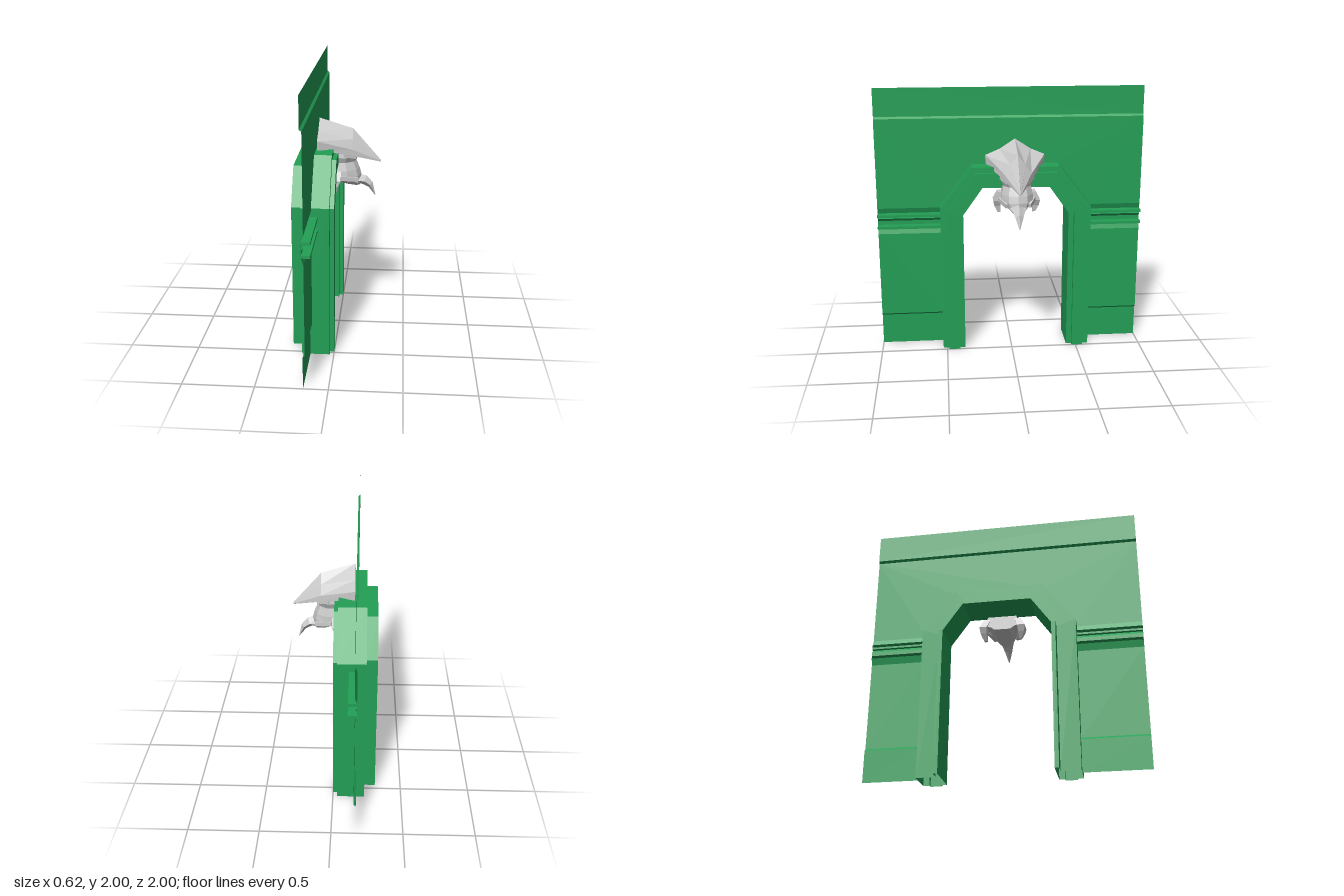
import * as THREE from 'three';

const CZ = -0.035; // centre line of the archway
const green = new THREE.MeshStandardMaterial({ color: 0x239f56, flatShading: true, side: THREE.DoubleSide });
const grey = new THREE.MeshStandardMaterial({ color: 0xcccccc, flatShading: true, side: THREE.DoubleSide });

// Skin a list of rings, each a list of [x, y, z]
function loft(rings, closed = false) {
  const out = [];
  for (let i = 0; i < rings.length - 1; i++) {
    const n = rings[i].length;
    for (let j = 0; j < (closed ? n : n - 1); j++) {
      const k = (j + 1) % n;
      const a = rings[i][j], b = rings[i + 1][j], c = rings[i + 1][k], d = rings[i][k];
      out.push(...a, ...b, ...c, ...a, ...c, ...d);
    }
  }
  const g = new THREE.BufferGeometry();
  g.setAttribute('position', new THREE.Float32BufferAttribute(out, 3));
  g.computeVertexNormals();
  return g;
}

// Add collapsed rings so that a closed loft gets end caps
function capped(rings) {
  const mid = (r) => {
    const c = [0, 1, 2].map((k) => r.reduce((s, p) => s + p[k], 0) / r.length);
    return r.map(() => c);
  };
  return [mid(rings[0]), ...rings, mid(rings[rings.length - 1])];
}

function add(group, name, geometry, material) {
  const m = new THREE.Mesh(geometry, material);
  m.name = name;
  group.add(m);
  return m;
}

// Arch outlines: half width, shoulder height, half width of the flat top, top height
const OUTER = [0.565, 1.12, 0.325, 1.43];
const STEP = [0.52, 1.105, 0.305, 1.39];
const LIP = [0.435, 1.08, 0.26, 1.30];
const INNER = [0.395, 1.07, 0.25, 1.275];
const REAR = [0.425, 1.075, 0.258, 1.33];
const outline = ([w, c, f, t], x) =>
  [[w, 0], [w, c], [f, t], [-f, t], [-w, c], [-w, 0]].map(([z, y]) => [x, y, CZ + z]);

function buildArch() {
  const g = new THREE.Group();
  g.name = 'arch';
  const steps = [
    [REAR, -0.31], [REAR, -0.23], [OUTER, -0.23], [OUTER, -0.03], [STEP, -0.03], [STEP, 0],
    [LIP, 0], [LIP, -0.03], [INNER, -0.03], [INNER, -0.31], [REAR, -0.31],
  ];
  add(g, 'steppedFrame', loft(steps.map(([o, x]) => outline(o, x))), green);
  return g;
}

function buildWall() {
  const g = new THREE.Group();
  g.name = 'wall';
  const back = -0.17, face = -0.155, ridge = -0.11;
  const strip = (profile, z0, z1) => loft(profile.map(([x, y]) => [[x, y, z0], [x, y, z1]]));

  // Plinth, dado and double rail, on both sides of the arch
  const side = [
    [back, 0], [back, 0.235], [face, 0.25], [face, 0.90],
    [back, 0.95], [ridge, 0.95], [ridge, 0.97], [back, 0.97],
    [back, 1.0], [face, 1.02], [back, 1.025],
    [back, 1.04], [ridge, 1.04], [ridge, 1.06], [back, 1.06], [face, 1.10],
  ];
  add(g, 'leftSidePanel', strip(side, CZ + OUTER[0], 1), green);
  add(g, 'rightSidePanel', strip(side, -1, CZ - OUTER[0]), green);

  // Rail end caps at the outer wall edges
  for (const y of [0.96, 1.05]) for (const z of [-1, 1]) {
    const cap = add(g, 'railEnd', new THREE.PlaneGeometry(0.06, 0.02), green);
    cap.position.set(-0.14, y, z);
  }

  // Panel above, notched around the arch
  const [w, c, f, t] = OUTER;
  const pts = [[-1, 1.10], [CZ - w, 1.10], [CZ - w, c], [CZ - f, t], [CZ + f, t],
    [CZ + w, c], [CZ + w, 1.10], [1, 1.10], [1, 1.775], [-1, 1.775]];
  const shape = new THREE.Shape(pts.map(([z, y]) => new THREE.Vector2(-z, y)));
  const panel = new THREE.ShapeGeometry(shape).rotateY(Math.PI / 2).translate(face, 0, 0);
  add(g, 'upperPanel', panel, green);
  add(g, 'topBand', strip([[face, 1.775], [back, 1.79], [back, 2]], -1, 1), green);
  return g;
}

function buildHead() {
  const g = new THREE.Group();
  g.name = 'keystoneHead';
  g.position.z = CZ;

  // Pointed hood: half sections from the underside centre up to the ridge
  const section = (x, half) => [
    ...half.map(([z, y]) => [x, y, z]),
    ...half.slice(1, -1).reverse().map(([z, y]) => [x, y, -z]),
  ];
  const hood = [
    section(-0.145, [[0, 1.46], [0.22, 1.435], [0.222, 1.50], [0.115, 1.545], [0, 1.62]]),
    section(0.10, [[0, 1.40], [0.102, 1.365], [0.10, 1.41], [0.055, 1.475], [0, 1.545]]),
    section(0.305, [[0, 1.295], [0.003, 1.297], [0.003, 1.30], [0.002, 1.305], [0, 1.31]]),
  ];
  add(g, 'hood', loft(capped(hood), true), grey);

  // Skull: [height, front x, half width]
  const skull = [[1.13, 0.15, 0.06], [1.15, 0.165, 0.085], [1.20, 0.163, 0.115], [1.25, 0.15, 0.113],
    [1.31, 0.125, 0.10], [1.35, 0.14, 0.118], [1.42, 0.11, 0.11]]
    .map(([y, x, w]) => [[-0.06, -w], [x * 0.4, -w], [x * 0.85, -w * 0.6], [x, 0], [x * 0.85, w * 0.6],
      [x * 0.4, w], [-0.06, w]].map(([px, pz]) => [px, y + (y < 1.16 ? (0.1 - px) * 0.25 : 0), pz]));
  add(g, 'skull', loft(capped(skull), true), grey);

  // Hooked beak: [top x, top y, bottom x, bottom y, half width]
  const beak = [[0.11, 1.20, 0.11, 1.135, 0.07], [0.20, 1.19, 0.175, 1.12, 0.045],
    [0.245, 1.14, 0.215, 1.10, 0.03], [0.268, 1.04, 0.264, 1.038, 0.003]]
    .map(([tx, ty, bx, by, w]) => [[tx, ty, 0], [(tx + bx) / 2, (ty + by) / 2, -w], [bx, by, 0],
      [(tx + bx) / 2, (ty + by) / 2, w]]);
  add(g, 'beak', loft(capped(beak), true), grey);

  for (const s of [-1, 1]) {
    // Tusk: [height, back x, front x, inner z, outer z]
    const tusk = [[1.255, -0.06, 0.02, 0.09, 0.14], [1.19, -0.08, 0.02, 0.115, 0.172],
      [1.145, -0.06, 0.0, 0.12, 0.165], [1.095, -0.03, -0.01, 0.118, 0.14]]
      .map(([y, x0, x1, z0, z1]) => [[x0, y, s * z0], [x1, y, s * z0], [x1, y, s * z1], [x0, y, s * z1]]);
    add(g, 'tusk', loft(capped(tusk), true), grey);

    const brow = add(g, 'brow', new THREE.BoxGeometry(0.10, 0.025, 0.03), grey);
    brow.position.set(0.08, 1.36, s * 0.09);
    brow.rotation.set(0, s * 0.5, -0.25);

    const cheek = add(g, 'cheekPlate', new THREE.BoxGeometry(0.13, 0.03, 0.02), grey);
    cheek.position.set(0.08, 1.19, s * 0.105);
    cheek.rotation.set(0, s * 0.35, -0.15);
  }
  return g;
}

export function createModel() {
  const model = new THREE.Group();
  model.name = 'archwayWall';
  model.add(buildWall(), buildArch(), buildHead());
  return model;
}
